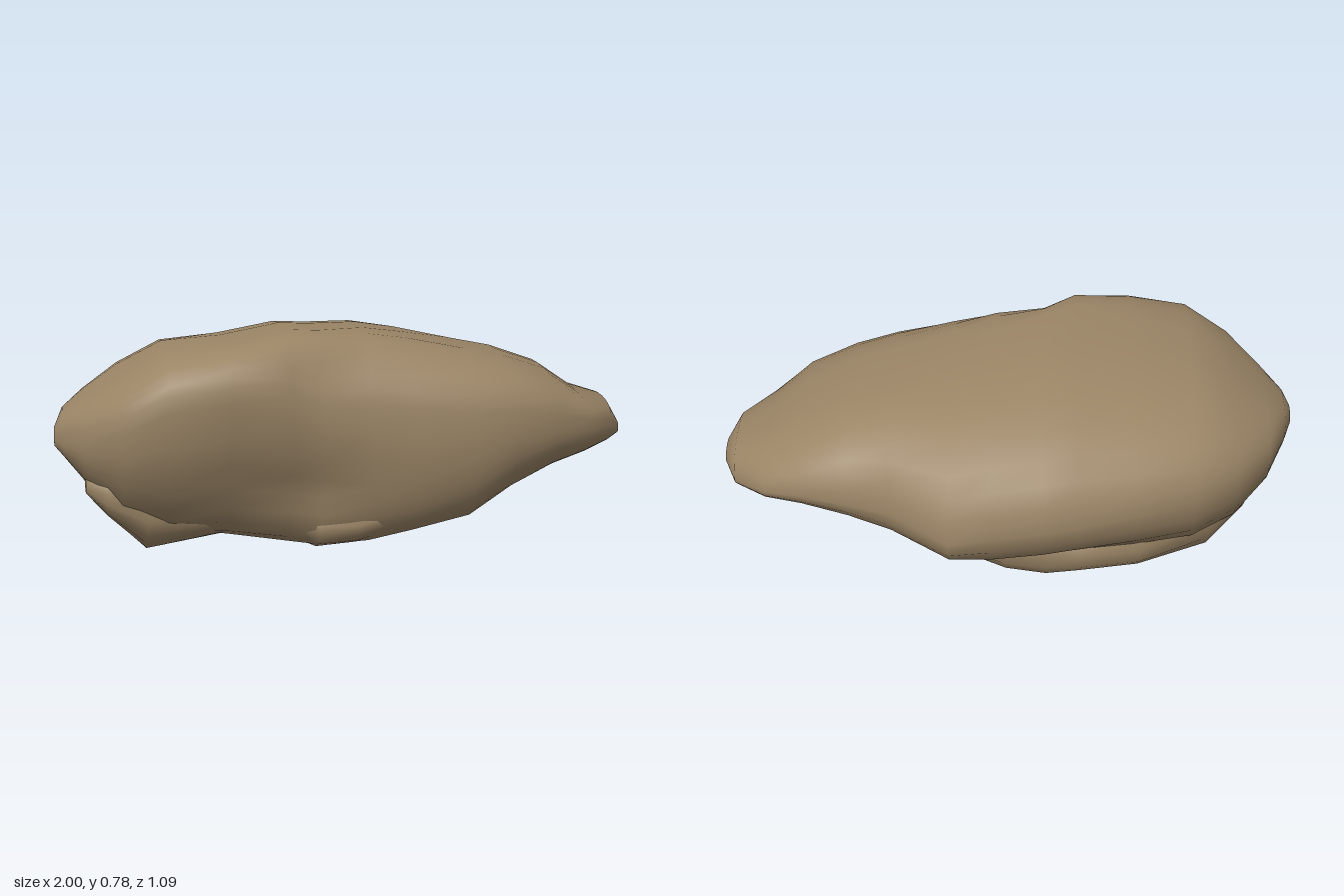
import * as THREE from 'three';

// Each section: x, yBottom, yTop, zBack, zFront, zOfTop, yOfFront, yOfBack, zOfBottom
const bodySections = [
  [-1.0, 0.38, 0.44, 0.12, 0.20, 0.16, 0.41, 0.41, 0.16],
  [-0.97, 0.34, 0.50, 0.02, 0.25, 0.12, 0.41, 0.43, 0.12],
  [-0.90, 0.25, 0.55, -0.15, 0.36, 0.10, 0.43, 0.43, 0.10],
  [-0.78, 0.13, 0.635, -0.29, 0.485, 0.14, 0.48, 0.43, 0.08],
  [-0.63, 0.07, 0.72, -0.39, 0.53, 0.22, 0.55, 0.43, 0.08],
  [-0.43, 0.06, 0.74, -0.45, 0.545, 0.28, 0.58, 0.43, 0.15],
  [-0.23, 0.045, 0.78, -0.50, 0.505, 0.30, 0.50, 0.42, 0.25],
  [-0.12, 0.035, 0.77, -0.52, 0.48, 0.26, 0.46, 0.41, 0.30],
  [0.05, 0.035, 0.76, -0.535, 0.455, 0.18, 0.44, 0.40, 0.27],
  [0.20, 0.07, 0.73, -0.545, 0.45, 0.10, 0.42, 0.38, 0.28],
  [0.40, 0.115, 0.69, -0.41, 0.445, 0.05, 0.42, 0.39, 0.28],
  [0.55, 0.20, 0.65, -0.38, 0.41, 0.02, 0.42, 0.41, 0.22],
  [0.71, 0.26, 0.59, -0.34, 0.345, 0.00, 0.41, 0.42, 0.15],
  [0.84, 0.28, 0.50, -0.27, 0.25, -0.04, 0.39, 0.38, 0.05],
  [0.95, 0.305, 0.465, -0.19, 0.14, -0.04, 0.38, 0.37, 0.00],
  [1.0, 0.33, 0.38, -0.05, 0.06, 0.01, 0.35, 0.35, 0.01],
];
const ledgeSections = [
  [-0.90, 0.22, 0.30, 0.03, 0.28, 0.10, 0.26, 0.26, 0.15],
  [-0.83, 0.14, 0.36, -0.10, 0.36, 0.10, 0.25, 0.23, 0.12],
  [-0.70, 0.01, 0.38, -0.20, 0.36, 0.10, 0.22, 0.19, 0.10],
  [-0.45, 0.045, 0.38, -0.36, 0.36, 0.05, 0.20, 0.20, 0.00],
  [-0.25, 0.045, 0.36, -0.39, 0.38, 0.0, 0.19, 0.20, -0.05],
  [-0.13, 0.0, 0.34, -0.38, 0.41, 0.0, 0.12, 0.20, -0.02],
  [0.01, 0.01, 0.34, -0.36, 0.40, 0.0, 0.12, 0.20, 0.0],
  [0.22, 0.08, 0.30, -0.30, 0.36, 0.0, 0.16, 0.22, 0.1],
  [0.36, 0.14, 0.28, -0.20, 0.30, 0.1, 0.20, 0.22, 0.1],
];

// Hollows worn in the faces: x, y, z, radius, fraction pushed inward
const hollows = [
  [-0.38, 0.30, 0.46, 0.15, 0.08],
  [-0.72, 0.30, 0.42, 0.10, 0.06],
  [-0.06, 0.70, 0.42, 0.13, 0.08],
  [-0.16, 0.24, 0.45, 0.12, 0.09],
  [0.40, 0.68, 0.06, 0.13, 0.05],
  [0.45, 0.45, -0.42, 0.13, 0.04],
  [0.86, 0.48, -0.22, 0.08, 0.08],
];

// One irregular stone: four uneven quarter arcs per cross-section, lofted along x.
// Powers set the squareness of the front top, back top, back bottom and front bottom.
function stone(sections, segments, powers, roughness) {
  const positions = [], indices = [];
  const bend = (v, power) => Math.sign(v) * Math.pow(Math.abs(v), 2 / power);
  const point = new THREE.Vector3(), hollow = new THREE.Vector3();
  for (const [x, y0, y1, z0, z1, zTop, yFront, yBack, zBottom] of sections) {
    const midY = (y0 + y1) / 2, midZ = (z0 + z1) / 2;
    for (let j = 0; j < segments; j++) {
      const angle = (j / segments) * Math.PI * 2;
      const power = powers[Math.floor((4 * j) / segments)];
      const c = bend(Math.cos(angle), power), s = bend(Math.sin(angle), power);
      const poleZ = s > 0 ? zTop : zBottom, sideY = c > 0 ? yFront : yBack;
      point.set(x,
        sideY + s * (s > 0 ? y1 - sideY : sideY - y0),
        poleZ + c * (c > 0 ? z1 - poleZ : poleZ - z0));
      // Chipped bumps, fading out at the extremes
      let scale = 1 - roughness * (1 + Math.sin(9 * x + 7 * point.z + 2) * Math.sin(13 * point.y - 8 * point.z + 5 * x))
        * Math.abs(Math.sin(2 * angle));
      for (const [hx, hy, hz, radius, depth] of hollows) {
        const d = point.distanceTo(hollow.set(hx, hy, hz)) / radius;
        scale -= depth * Math.exp(-d * d);
      }
      positions.push(x, midY + (point.y - midY) * scale, midZ + (point.z - midZ) * scale);
    }
  }
  for (let i = 0; i < sections.length - 1; i++) {
    for (let j = 0; j < segments; j++) {
      const k = (j + 1) % segments;
      const a = i * segments + j, b = a + segments;
      const d = i * segments + k, e = d + segments;
      indices.push(a, b, e, a, e, d);
    }
  }
  // Close both ends
  for (const end of [0, sections.length - 1]) {
    const [x, y0, y1, z0, z1] = sections[end];
    const centre = positions.length / 3;
    positions.push(x, (y0 + y1) / 2, (z0 + z1) / 2);
    for (let j = 0; j < segments; j++) {
      const a = end * segments + j, b = end * segments + (j + 1) % segments;
      if (end === 0) indices.push(centre, a, b);
      else indices.push(centre, b, a);
    }
  }
  const geometry = new THREE.BufferGeometry();
  geometry.setAttribute('position', new THREE.Float32BufferAttribute(positions, 3));
  geometry.setIndex(indices);
  geometry.computeVertexNormals();
  return geometry;
}

export function createModel() {
  const model = new THREE.Group();
  model.name = 'boulder';
  const rock = new THREE.MeshStandardMaterial({ color: 0x9b8566 });
  rock.name = 'brown rock';

  const body = new THREE.Mesh(stone(bodySections, 32, [2.9, 2.3, 2.0, 2.3], 0.012), rock);
  body.name = 'boulderBody';
  // Lower ledge showing under the boulder
  const ledge = new THREE.Mesh(stone(ledgeSections, 24, [2.2, 2.2, 2.6, 2.6], 0.012), rock);
  ledge.name = 'lowerLedge';
  model.add(body, ledge);
  return model;
}
